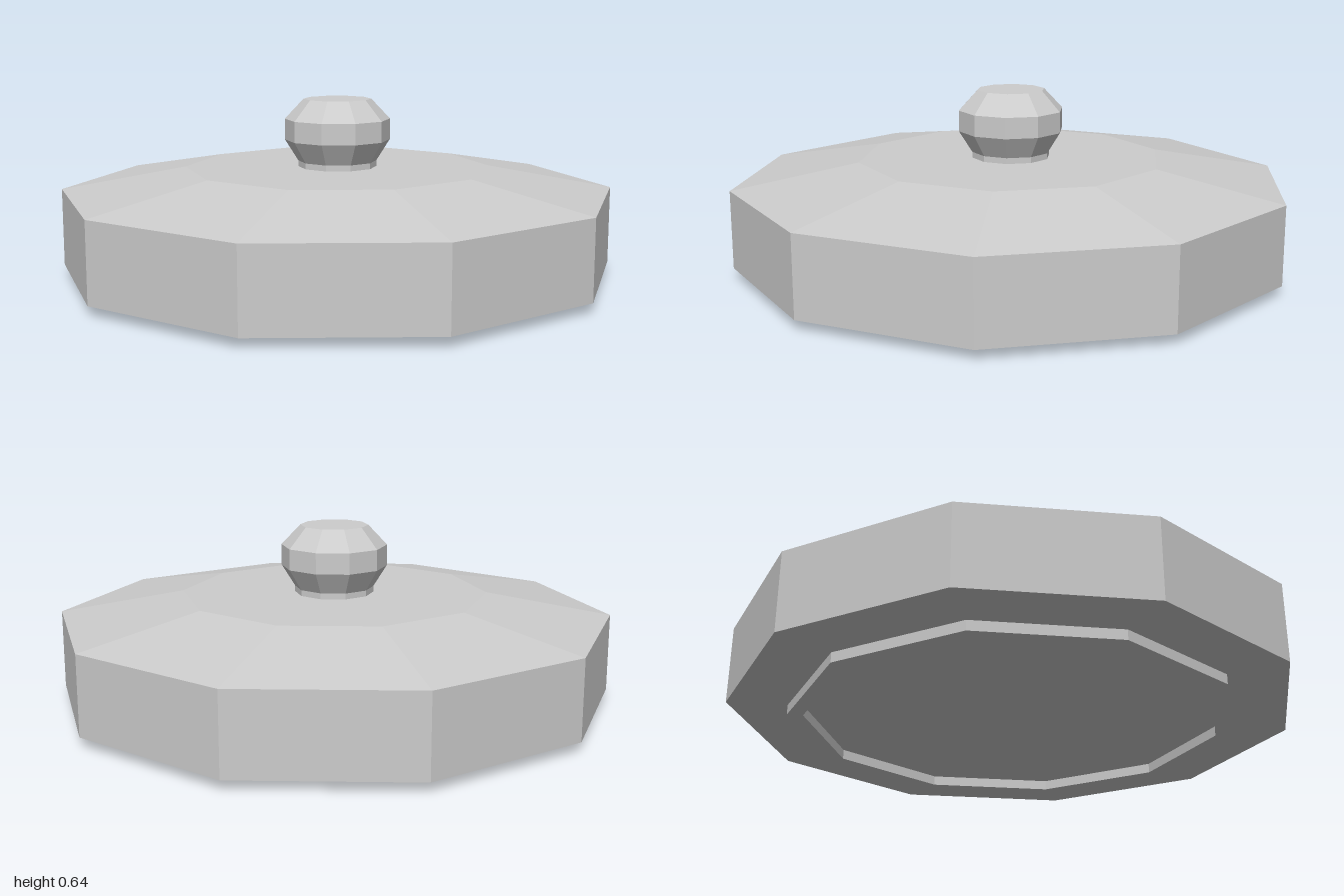
import * as THREE from 'three';

const SIDES = 10;

// Ten-sided turned part with crisp facets; profile points are [radius, height], bottom to top
function turned(name, profile, material) {
  const points = profile.map(([r, y]) => new THREE.Vector2(r, y));
  const geometry = new THREE.LatheGeometry(points, SIDES, Math.PI / 2).toNonIndexed();
  geometry.computeVertexNormals();
  const mesh = new THREE.Mesh(geometry, material);
  mesh.name = name;
  return mesh;
}

export function createModel() {
  const group = new THREE.Group();
  group.name = 'knobbedLid';
  const grey = new THREE.MeshStandardMaterial({ color: 0xcccccc });
  grey.name = 'light grey';

  group.add(
    // Narrow raised ring under the base
    turned('footRing', [[0.735, 0.035], [0.735, 0], [0.79, 0], [0.79, 0.035]], grey),
    // Straight-sided base with a closed underside
    turned('base', [[0, 0.035], [1, 0.035], [1, 0.248]], grey),
    // Rim, sloping shoulder and flat crown
    turned('cover', [[1, 0.248], [1, 0.315], [0.55, 0.397], [0, 0.397]], grey),
    // Short neck holding the knob
    turned('knobNeck', [[0.142, 0.39], [0.142, 0.42]], grey),
    // Faceted knob
    turned('knob', [[0, 0.418], [0.142, 0.418], [0.19, 0.495], [0.19, 0.57], [0.122, 0.642], [0, 0.642]], grey),
  );
  return group;
}
